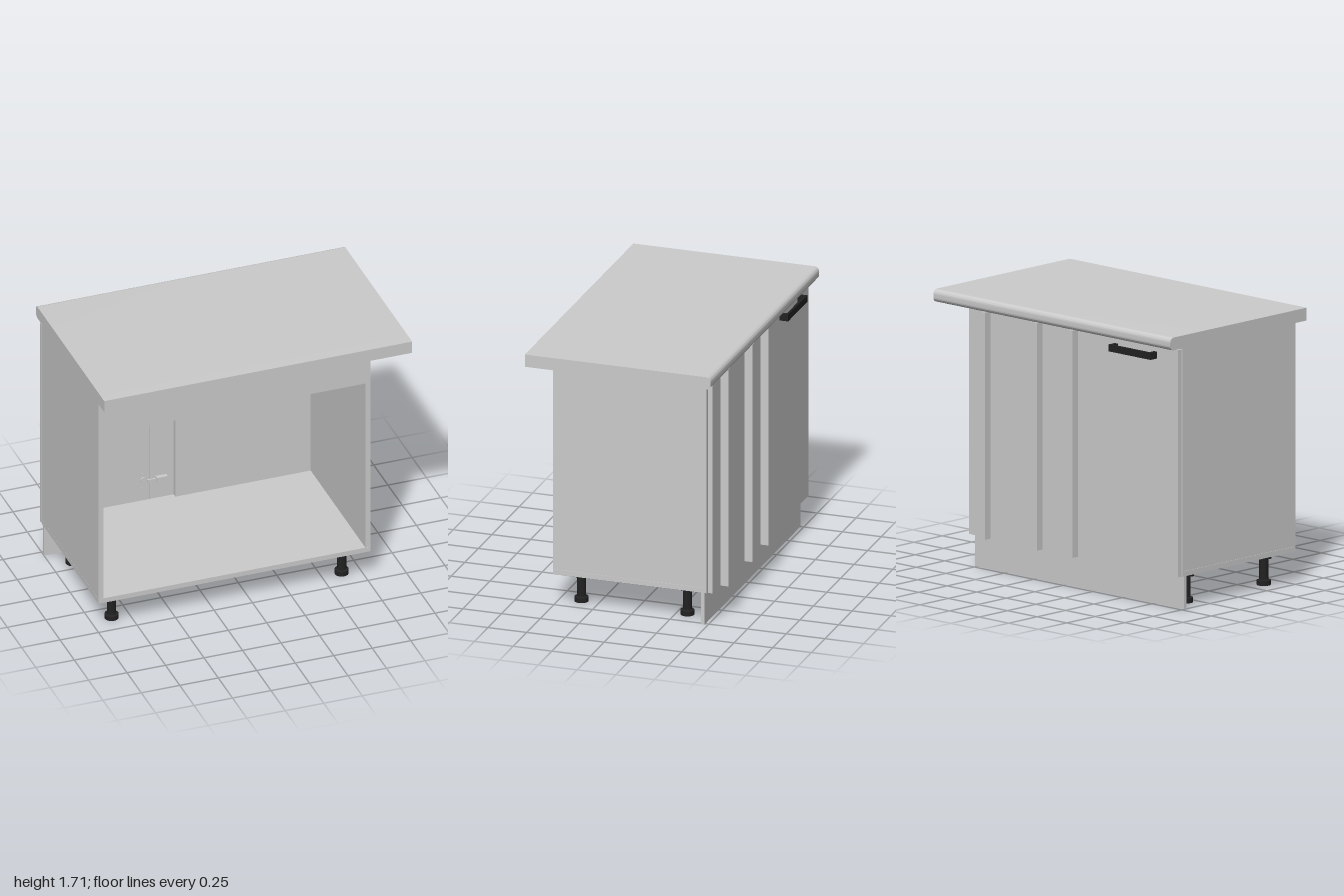
import * as THREE from 'three';
import { toCreasedNormals } from 'three/addons/utils/BufferGeometryUtils.js';

export function createModel() {
  const group = new THREE.Group();
  group.name = 'baseCabinet';
  const grey = new THREE.MeshStandardMaterial({ color: 0xcccccc });
  const black = new THREE.MeshStandardMaterial({ color: 0x222222 });

  const add = (name, geometry, material = grey, parent = group) => {
    const mesh = new THREE.Mesh(geometry, material);
    mesh.name = name;
    parent.add(mesh);
    return mesh;
  };
  // Box given by its limits on each axis
  const panel = (name, x0, x1, y0, y1, z0, z1, material = grey, parent = group) => {
    const mesh = add(name, new THREE.BoxGeometry(x1 - x0, y1 - y0, z1 - z0), material, parent);
    mesh.position.set((x0 + x1) / 2, (y0 + y1) / 2, (z0 + z1) / 2);
    return mesh;
  };

  // Countertop: side profile with one rounded long edge, extruded along x
  const r = 0.03, b = 1.63, t = 1.71;
  const profile = new THREE.Shape();
  profile.moveTo(-0.6, b);
  profile.lineTo(0.6 - r, b);
  profile.absarc(0.6 - r, b + r, r, -Math.PI / 2, 0, false);
  profile.lineTo(0.6, t - r);
  profile.absarc(0.6 - r, t - r, r, 0, Math.PI / 2, false);
  profile.lineTo(-0.6, t);
  profile.closePath();
  const top = new THREE.ExtrudeGeometry(profile, { depth: 2, bevelEnabled: false, curveSegments: 8 });
  top.translate(0, 0, -1).rotateY(Math.PI / 2);
  add('countertop', toCreasedNormals(top, 0.6));

  // Carcass, open towards +z
  panel('bottomPanel', -1, 0.765, 0.205, 0.237, -0.49, 0.5);
  panel('rightSidePanel', -1, -0.968, 0.238, 1.63, -0.49, 0.5);
  panel('leftSidePanel', 0.733, 0.765, 0.238, 1.63, -0.49, 0.5);
  panel('verticalRail', -0.968, 0.733, 1.41, 1.63, 0.468, 0.5);
  panel('horizontalRail', -0.968, 0.733, 1.598, 1.63, -0.49, -0.3);
  panel('innerBlindPanel', -0.145, 0.733, 0.237, 1.598, -0.49, -0.46);

  // Door and fixed face panel with its upright strips
  panel('door', -1, -0.303, 0.207, 1.625, -0.53, -0.5);
  panel('fixedFacePanel', -0.3, 0.765, 0.209, 1.625, -0.53, -0.5);
  for (const x of [0.6, 0.16, -0.138]) {
    panel('uprightStrip', x - 0.016, x + 0.016, 0.207, 1.625, -0.58, -0.53);
  }
  panel('plinth', -1, 0.765, 0, 0.205, -0.478, -0.455);

  // Handle: two feet and a bar
  const handle = new THREE.Group();
  handle.name = 'handle';
  group.add(handle);
  panel('handleBar', -0.82, -0.465, 1.545, 1.588, -0.586, -0.57, black, handle);
  for (const x of [-0.82, -0.49]) {
    panel('handleFoot', x, x + 0.025, 1.545, 1.588, -0.57, -0.53, black, handle);
  }

  // Hinges on the inner face of the door
  for (const y of [0.37, 1.46]) {
    const hinge = new THREE.Group();
    hinge.name = 'hinge';
    hinge.position.set(0, y, 0);
    group.add(hinge);
    const cup = add('hingeCup', new THREE.CylinderGeometry(0.025, 0.025, 0.006, 20), grey, hinge);
    cup.rotation.x = Math.PI / 2;
    cup.position.set(-0.335, 0, -0.497);
    panel('hingeArm', -0.32, -0.24, -0.01, 0.01, -0.49, -0.48, grey, hinge);
    panel('hingeBody', -0.26, -0.19, -0.017, 0.017, -0.5, -0.472, grey, hinge);
    for (const s of [-1, 1]) {
      panel('hingeScrew', -0.354, -0.346, s * 0.048 - 0.004, s * 0.048 + 0.004, -0.5, -0.494, grey, hinge);
    }
  }

  // Adjustable legs, turned from one profile
  const legProfile = [
    [0, 0], [0.043, 0], [0.043, 0.03], [0.028, 0.036], [0.028, 0.163], [0.048, 0.166],
    [0.05, 0.188], [0.065, 0.196], [0.065, 0.205], [0, 0.205],
  ].map(([x, y]) => new THREE.Vector2(x, y));
  const leg = toCreasedNormals(new THREE.LatheGeometry(legProfile, 24), 0.5);
  for (const x of [-0.865, 0.63]) {
    for (const z of [0.363, -0.32]) add('leg', leg, black).position.set(x, 0, z);
  }

  return group;
}
